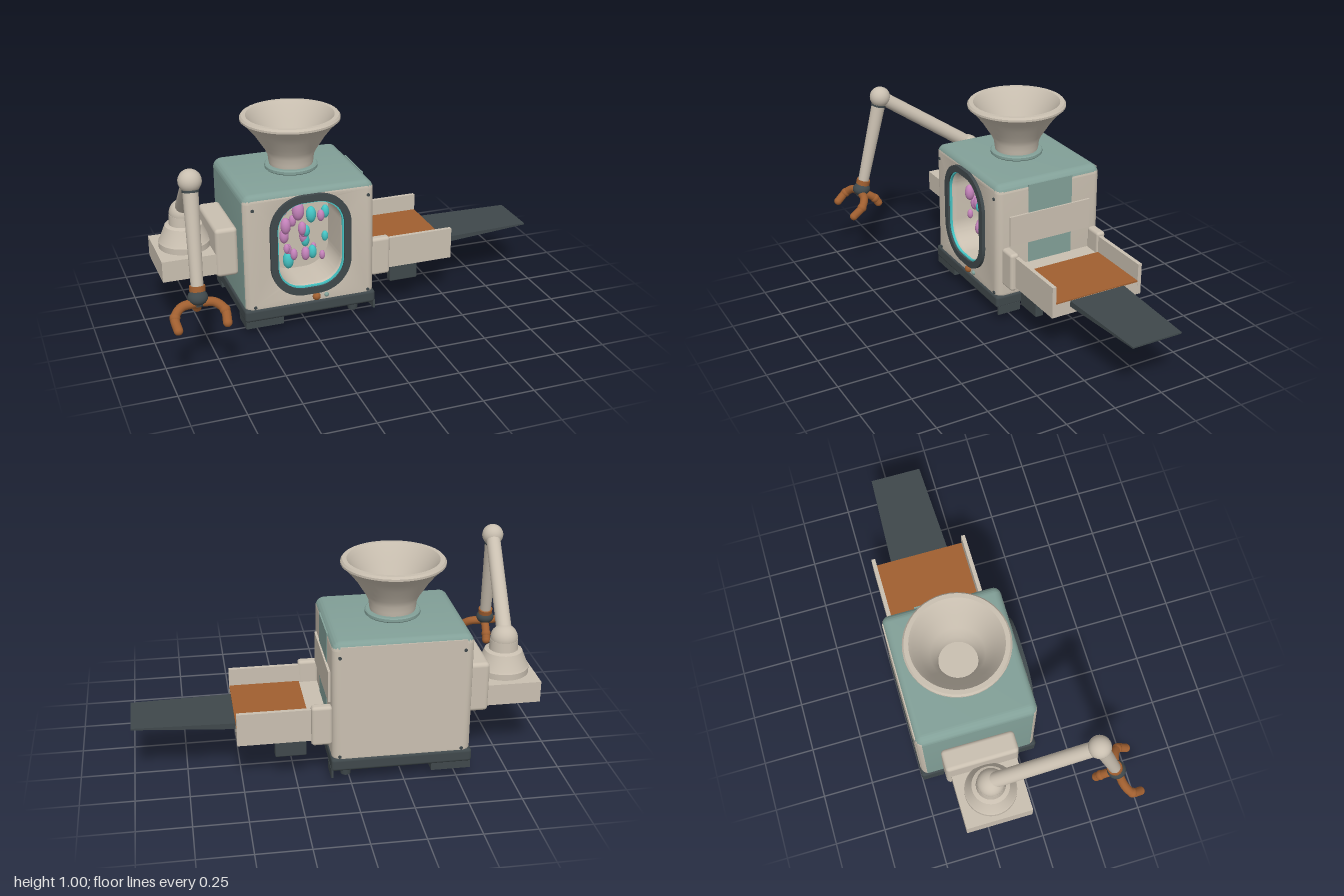
import * as THREE from 'three';
import { toCreasedNormals } from 'three/addons/utils/BufferGeometryUtils.js';
import { RoundedBoxGeometry } from 'three/addons/geometries/RoundedBoxGeometry.js';

const mat = (name, color, side = THREE.FrontSide) => {
  const m = new THREE.MeshStandardMaterial({ color, side });
  m.name = name;
  return m;
};

// Rounded rectangle outline centred on (x, y), given half sizes
function roundRect(P, x, y, w, h, r) {
  const p = new P();
  const q = Math.PI / 2;
  p.absarc(x + w - r, y + h - r, r, 0, q, false);
  p.absarc(x - w + r, y + h - r, r, q, 2 * q, false);
  p.absarc(x - w + r, y - h + r, r, 2 * q, 3 * q, false);
  p.absarc(x + w - r, y - h + r, r, 3 * q, 4 * q, false);
  p.closePath();
  return p;
}

export function createModel() {
  const g = new THREE.Group();
  g.name = 'candyMachine';
  const beige = mat('beige', 0xc9bfb0);
  const teal = mat('teal', 0x82a098);
  const dark = mat('charcoal', 0x3f484b);
  const copper = mat('copper', 0xa05f30);
  const pink = mat('pink', 0xc583bb);
  const cyan = mat('cyan', 0x45c4c4);

  const add = (name, geo, m, x = 0, y = 0, z = 0) => {
    const o = new THREE.Mesh(geo, m);
    o.name = name;
    o.position.set(x, y, z);
    g.add(o);
    return o;
  };
  // Box from minimum and maximum limits, with optional rounding
  const box = (name, m, x0, x1, y0, y1, z0, z1, r = 0) => {
    const s = [x1 - x0, y1 - y0, z1 - z0];
    const geo = r ? new RoundedBoxGeometry(...s, 3, r) : new THREE.BoxGeometry(...s);
    return add(name, geo, m, (x0 + x1) / 2, (y0 + y1) / 2, (z0 + z1) / 2);
  };
  const V = (x, y, z) => new THREE.Vector3(x, y, z);
  const rod = (name, m, a, b, ra, rb) => {
    const o = add(name, new THREE.CylinderGeometry(rb, ra, a.distanceTo(b), 24), m);
    o.position.copy(a).lerp(b, 0.5);
    o.quaternion.setFromUnitVectors(V(0, 1, 0), b.clone().sub(a).normalize());
    return o;
  };
  const ball = (name, m, p, r) => add(name, new THREE.SphereGeometry(r, 24, 16), m, p.x, p.y, p.z);
  const lathe = (name, m, pts, x, y, z) =>
    add(name, toCreasedNormals(new THREE.LatheGeometry(pts.map(p => new THREE.Vector2(...p)), 48), 0.6), m, x, y, z);

  const CX = -0.238, CZ = -0.205, WY = 0.437;

  // Cabinet with a window opening; its top and right side are teal
  const B = 0.035;
  const outline = roundRect(THREE.Shape, CX, 0.41, 0.327 - B, 0.31 - B, 0.01);
  outline.holes.push(roundRect(THREE.Path, CX, WY, 0.198, 0.255, 0.165));
  let body = new THREE.ExtrudeGeometry(outline, {
    depth: 0.51, bevelSize: B, bevelThickness: B, bevelSegments: 5, curveSegments: 12,
  });
  body.translate(0, 0, -0.46);
  body = toCreasedNormals(body, 0.6);
  body.clearGroups();
  const pos = body.attributes.position;
  const tri = new THREE.Triangle(), n = V(0, 0, 0), mid = V(0, 0, 0);
  for (let i = 0; i < pos.count; i += 3) {
    tri.setFromAttributeAndIndices(pos, i, i + 1, i + 2);
    tri.getNormal(n);
    tri.getMidpoint(mid);
    const painted = (n.y > 0.35 && mid.y > 0.66) || (n.x < -0.9 && mid.x < -0.5);
    body.addGroup(i, 3, painted ? 1 : 0);
  }
  add('cabinet', body, [beige, teal]);

  // Back panel, and the inner wall of the window chamber
  box('backPanel', beige, CX - 0.29, CX + 0.29, 0.14, 0.70, -0.497, -0.49);
  box('chamberWall', beige, CX - 0.19, CX + 0.19, WY - 0.25, WY + 0.25, -0.14, -0.13);
  box('sideBand', teal, 0.084, 0.0915, 0.13, 0.7, -0.33, -0.085);

  // Window frame and its bright inner lip
  const ring = (name, m, w, t, z, depth) => {
    const s = roundRect(THREE.Shape, CX, WY, w, w + 0.057, w - 0.035);
    s.holes.push(roundRect(THREE.Path, CX, WY, w - t, w - t + 0.057, w - t - 0.035));
    const geo = new THREE.ExtrudeGeometry(s, { depth, bevelEnabled: false, curveSegments: 16 });
    add(name, toCreasedNormals(geo, 0.6), m, 0, 0, z);
  };
  ring('windowFrame', dark, 0.202, 0.035, 0.08, 0.022);
  ring('windowLip', cyan, 0.17, 0.01, 0.08, 0.012);

  // Sweets in the chamber: x, y, half height
  const sweet = new THREE.SphereGeometry(1, 16, 12);
  const sweets = (name, m, list) => list.forEach(([x, y, h], i) =>
    add(name, sweet, m, x, y, -0.02 + 0.03 * ((i * 7) % 3 - 1)).scale.set(h * 0.6, h, h * 0.6));
  sweets('pinkSweet', pink, [[-0.33, 0.58, 0.035], [-0.265, 0.572, 0.05], [-0.338, 0.515, 0.042],
    [-0.285, 0.51, 0.03], [-0.338, 0.45, 0.038], [-0.255, 0.49, 0.035], [-0.23, 0.42, 0.035],
    [-0.24, 0.455, 0.025], [-0.335, 0.395, 0.025], [-0.31, 0.36, 0.03], [-0.29, 0.345, 0.03],
    [-0.24, 0.355, 0.035], [-0.18, 0.355, 0.024], [-0.145, 0.32, 0.024], [-0.16, 0.545, 0.03]]);
  sweets('cyanSweet', cyan, [[-0.19, 0.53, 0.042], [-0.128, 0.55, 0.034], [-0.235, 0.475, 0.03],
    [-0.222, 0.40, 0.035], [-0.13, 0.42, 0.027], [-0.205, 0.36, 0.035], [-0.31, 0.305, 0.045]]);

  // Control knobs and corner screws
  ball('knob', copper, V(-0.212, 0.155, 0.087), 0.02);
  ball('indicator', teal, V(-0.16, 0.155, 0.085), 0.012);
  for (const x of [-0.52, 0.055]) for (const y of [0.145, 0.65]) for (const z of [0.086, -0.496])
    add('screw', new THREE.CylinderGeometry(0.008, 0.008, 0.008, 12), dark, x, y, z).rotation.x = Math.PI / 2;

  // Plinth, corner pads and feet
  box('plinth', dark, -0.572, 0.094, 0.07, 0.135, -0.502, 0.092, 0.015);
  for (const [z0, z1] of [[-0.04, 0.085], [-0.495, -0.39]]) {
    box('cornerPad', dark, -0.568, -0.38, 0.035, 0.075, z0, z1);
    box('cornerTab', dark, 0.085, 0.095, 0.035, 0.08, z0, z1);
  }
  for (const x of [-0.488, 0.012]) for (const z of [-0.015, -0.395])
    add('foot', new THREE.CylinderGeometry(0.032, 0.024, 0.075, 20), dark, x, 0.0375, z);

  // Funnel and collar
  lathe('funnel', beige, [[0.1, 0.72], [0.11, 0.77], [0.113, 0.8], [0.127, 0.83], [0.147, 0.86], [0.172, 0.9],
    [0.205, 0.942], [0.235, 0.973], [0.244, 0.98], [0.244, 0.99], [0.236, 1.0], [0.215, 1.0], [0.2, 0.98],
    [0.165, 0.92], [0.125, 0.85], [0.098, 0.8], [0.092, 0.75], [0, 0.75]], CX, 0, CZ);
  lathe('collar', teal, [[0, 0.73], [0.125, 0.73], [0.13, 0.735], [0.13, 0.748], [0.125, 0.753], [0.1, 0.753]], CX, 0, CZ);

  // Outlet: hood plate, cradle, tray, belt and legs
  box('outletHood', beige, 0.08, 0.1, 0.4, 0.555, -0.43, 0.02);
  box('cradleFloor', beige, 0.085, 0.18, 0.2, 0.288, -0.45, 0.04);
  for (const z of [-0.477, 0.015])
    box('cradleCheek', beige, 0.085, 0.182, 0.2, 0.398, z, z + 0.047, 0.015);
  box('tray', beige, 0.17, 0.522, 0.22, 0.288, -0.445, 0.02);
  for (const z of [-0.457, 0.017])
    box('trayWall', beige, 0.17, 0.523, 0.22, 0.38, z, z + 0.02);
  box('belt', copper, 0.18, 0.522, 0.286, 0.294, -0.438, 0.018);
  for (const z of [-0.43, -0.023])
    box('trayLeg', dark, 0.2, 0.347, 0.13, 0.222, z, z + 0.043, 0.006);

  // Tapered slide at the end of the belt
  const slide = new THREE.BoxGeometry(0.48, 0.03, 0.3);
  const sp = slide.attributes.position;
  for (let i = 0; i < sp.count; i++) if (sp.getX(i) > 0)
    sp.setXYZ(i, 0.24, sp.getY(i) * 0.25 + 0.012, sp.getZ(i) * 0.87);
  slide.computeVertexNormals();
  add('slide', slide, dark, 0.76, 0.272, -0.21);

  // Arm mount
  box('armBracket', beige, -0.672, -0.562, 0.272, 0.522, -0.392, -0.035, 0.02);
  box('armPlatform', beige, -0.932, -0.66, 0.29, 0.395, -0.37, -0.045);
  lathe('armTurret', beige, [[0.125, 0.39], [0.125, 0.425], [0.118, 0.435], [0.09, 0.505], [0.07, 0.512],
    [0.066, 0.56], [0, 0.56]], -0.785, 0, -0.21);

  // Arm segments and joints
  const shoulder = V(-0.785, 0.565, -0.21), elbow = V(-0.842, 0.915, 0.265), wrist = V(-0.86, 0.44, 0.38);
  const along = t => elbow.clone().lerp(wrist, t);
  ball('shoulder', beige, shoulder, 0.066);
  rod('upperArm', beige, V(-0.785, 0.59, -0.21), elbow, 0.037, 0.035);
  ball('elbow', beige, elbow, 0.053);
  rod('elbowBand', dark, along(0.08), along(0.1), 0.038, 0.038);
  rod('forearm', beige, elbow, wrist, 0.036, 0.028);
  rod('wristBand', copper, along(0.95), along(1.0), 0.036, 0.036);
  const palm = ball('wristJoint', dark, V(-0.862, 0.413, 0.388), 0.046);
  palm.scale.y = 0.75;
  rod('palm', dark, V(-0.862, 0.375, 0.392), V(-0.862, 0.41, 0.388), 0.026, 0.036);

  // Three curled fingers
  const fingers = [
    [V(-0.875, 0.39, 0.395), V(-0.94, 0.385, 0.405), V(-0.978, 0.355, 0.435), V(-0.975, 0.315, 0.482)],
    [V(-0.845, 0.39, 0.395), V(-0.79, 0.385, 0.405), V(-0.753, 0.355, 0.435), V(-0.755, 0.315, 0.482)],
    [V(-0.86, 0.385, 0.38), V(-0.857, 0.37, 0.35), V(-0.853, 0.345, 0.318), V(-0.85, 0.317, 0.3)],
  ];
  for (const pts of fingers) {
    add('finger', new THREE.TubeGeometry(new THREE.CatmullRomCurve3(pts), 20, 0.021, 12), copper);
    ball('fingerTip', copper, pts[3], 0.021);
    ball('fingerKnuckle', copper, pts[2], 0.024);
  }
  return g;
}
